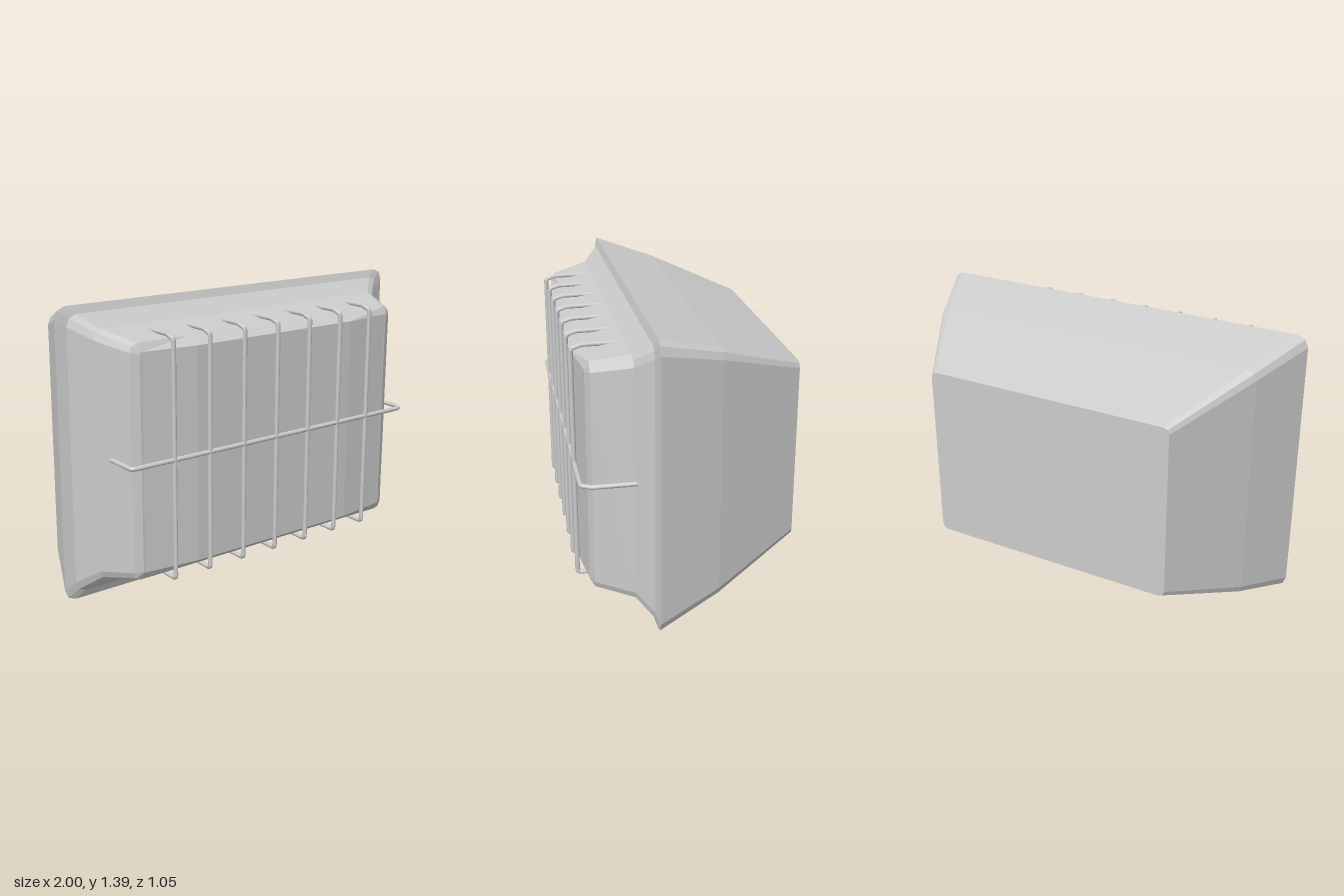
import * as THREE from 'three';

const CY = 0.693; // height of the lamp's axis
const material = new THREE.MeshStandardMaterial({ color: 0xcccccc, flatShading: true });
const wireMaterial = new THREE.MeshStandardMaterial({ color: 0xcccccc });

// Rectangle with rounded corners, counter-clockwise from the right end of the top
// (8 points along the top, then the same 8 mirrored along the bottom).
// bow pushes the middle of the top and bottom edges forward.
function section({ z, w, h, r, bow = 0 }) {
  const right = [0, 1, 2].map((i) => {
    const a = (i * Math.PI) / 4;
    return [w - r + r * Math.cos(a), h - r + r * Math.sin(a), z];
  });
  right.push([0.47, h, z + bow]);
  const top = [...right, ...right.slice().reverse().map(([x, y, d]) => [-x, y, d])];
  const bottom = top.slice().reverse().map(([x, y, d]) => [x, -y, d]);
  return [...top, ...bottom];
}

function indexed(points, index) {
  const g = new THREE.BufferGeometry();
  g.setAttribute('position', new THREE.Float32BufferAttribute(points.flat(), 3));
  g.setIndex(index);
  g.computeVertexNormals();
  return g;
}

// Skin over sections given from back to front, with optional end caps
function loft(specs, { capBack = false, capFront = false }) {
  const n = 16;
  const points = specs.flatMap(section);
  const index = [];
  const quad = (a, b, c, d) => index.push(a, b, c, a, c, d);
  for (let k = 0; k < specs.length - 1; k++) {
    for (let i = 0; i < n; i++) {
      const a = k * n + i, b = k * n + ((i + 1) % n);
      quad(a, b, b + n, a + n);
    }
  }
  const f = (specs.length - 1) * n;
  for (let i = 0; i < 7; i++) {
    if (capFront) quad(f + i, f + i + 1, f + 14 - i, f + 15 - i);
    if (capBack) quad(15 - i, 14 - i, i + 1, i);
  }
  return indexed(points, index);
}

// Round wire along a bent path in the (u, z) plane, mitred at the bends; u becomes x.
// Both ends are sunk into the lamp.
function wire(path, radius = 0.011, sides = 10) {
  const p = path.map(([u, z]) => new THREE.Vector2(u, z));
  const points = [], index = [];
  p.forEach((c, k) => {
    const before = p[Math.max(k - 1, 0)], after = p[Math.min(k + 1, p.length - 1)];
    const t0 = (k ? c.clone().sub(before) : after.clone().sub(c)).normalize();
    const t1 = (k < p.length - 1 ? after.clone().sub(c) : t0.clone()).normalize();
    const t = t0.clone().add(t1).normalize();
    const m = new THREE.Vector2(-t.y, t.x).multiplyScalar(radius / t.dot(t0));
    for (let i = 0; i < sides; i++) {
      const a = (i / sides) * Math.PI * 2;
      points.push([c.x + m.x * Math.cos(a), radius * Math.sin(a), c.y + m.y * Math.cos(a)]);
    }
    if (k === 0) return;
    for (let i = 0; i < sides; i++) {
      const a = (k - 1) * sides + i, b = (k - 1) * sides + ((i + 1) % sides);
      index.push(a, b + sides, b, a, a + sides, b + sides);
    }
  });
  return indexed(points, index);
}

export function createModel() {
  const lamp = new THREE.Group();
  lamp.name = 'bulkheadLamp';
  const add = (name, geometry, mat, parent = lamp) => {
    const mesh = new THREE.Mesh(geometry, mat);
    mesh.name = name;
    parent.add(mesh);
    return mesh;
  };

  // Tapered housing with its flared rim
  add('housing', loft([
    { z: -0.525, w: 0.64, h: 0.443, r: 0.03 },
    { z: -0.11, w: 0.87, h: 0.603, r: 0.045 },
    { z: 0.188, w: 1.0, h: 0.693, r: 0.055 },
    { z: 0.203, w: 0.95, h: 0.655, r: 0.05 },
    { z: 0.277, w: 0.86, h: 0.59, r: 0.045 },
  ], { capBack: true }), material).position.y = CY;

  // Lens, bowed forward across its width
  add('lens', loft([
    { z: 0.277, w: 0.86, h: 0.59, r: 0.045 },
    { z: 0.455, w: 0.79, h: 0.55, r: 0.04 },
    { z: 0.475, w: 0.75, h: 0.512, r: 0.01, bow: 0.033 },
  ], { capFront: true }), material).position.y = CY;

  // Wire guard: seven upright wires and one cross wire
  const guard = new THREE.Group();
  guard.name = 'wireGuard';
  lamp.add(guard);

  const upright = wire([
    [0.13, 0.28], [0.128, 0.5], [0.134, 0.511], [0.145, 0.514],
    [1.24, 0.514], [1.253, 0.505], [1.266, 0.465], [1.267, 0.28],
  ]).rotateZ(Math.PI / 2);
  for (let i = 0; i < 7; i++) {
    add('uprightWire', upright, wireMaterial, guard).position.x = -0.6 + i * 0.1985;
  }

  const cross = wire([
    [-0.825, 0.255], [-0.827, 0.5], [-0.821, 0.511], [-0.81, 0.514],
    [0.825, 0.514], [0.84, 0.507], [0.862, 0.468], [0.865, 0.255],
  ]);
  add('crossWire', cross, wireMaterial, guard).position.y = 0.702;

  return lamp;
}
